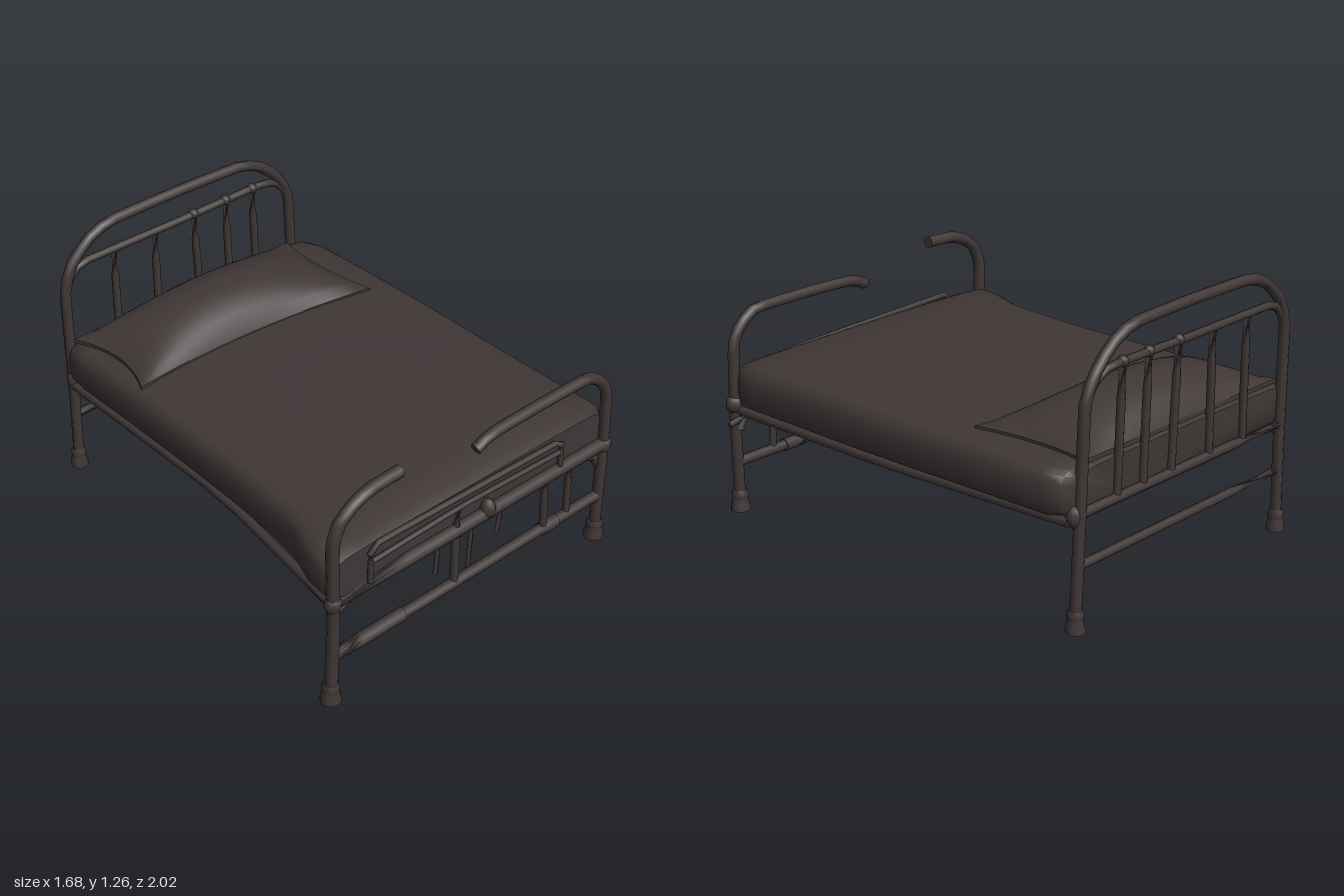
import * as THREE from 'three';
import { toCreasedNormals } from 'three/addons/utils/BufferGeometryUtils.js';

const V = (x, y, z) => new THREE.Vector3(x, y, z);

export function createModel() {
  const bed = new THREE.Group();
  bed.name = 'oldIronBed';
  const iron = new THREE.MeshStandardMaterial({ color: 0x3f3736 });
  iron.name = 'darkBrown';

  const add = (name, geo, parent = bed) => {
    const m = new THREE.Mesh(geo, iron);
    m.name = name;
    parent.add(m);
    return m;
  };

  // Capped bent tube through [x, y] points in the plane z (a third number overrides z)
  const tube = (name, pts, z, r, parent, sides = 8) => {
    const path = pts.map(p => V(p[0], p[1], p[2] ?? z));
    const curve = new THREE.CatmullRomCurve3(path, false, 'catmullrom', 0.2);
    const m = add(name, new THREE.TubeGeometry(curve, (path.length - 1) * 4, r, sides), parent);
    [0, 1].forEach(t => {
      const cap = add(name + 'End', new THREE.CircleGeometry(r, sides), m);
      cap.position.copy(curve.getPoint(t));
      const dir = curve.getTangent(t).multiplyScalar(t ? 1 : -1);
      cap.quaternion.setFromUnitVectors(V(0, 0, 1), dir);
    });
    return m;
  };

  // Flared foot under a post
  const foot = (x, y, z, r, parent) => {
    const prof = [[0, 0], [1.45, 0], [1.4, 0.02], [1.12, 0.055], [1.25, 0.075], [1, 0.1]]
      .map(([k, h]) => new THREE.Vector2(k * r, h));
    add('foot', toCreasedNormals(new THREE.LatheGeometry(prof, 10), 0.7), parent).position.set(x, y, z);
  };

  const knob = (name, x, y, z, sx, sy, sz, parent) => {
    const m = add(name, new THREE.SphereGeometry(1, 10, 7), parent);
    m.position.set(x, y, z);
    m.scale.set(sx, sy, sz);
  };

  // Headboard: tall arch, inner rail, spindles and cross rails
  const head = new THREE.Group();
  head.name = 'headboard';
  bed.add(head);
  const hz = -0.972;
  tube('headArch', [[-0.645, 0.05], [-0.64, 0.5], [-0.643, 0.96], [-0.6, 1.09], [-0.5, 1.185], [-0.38, 1.23],
    [0, 1.235], [0.37, 1.225], [0.5, 1.17], [0.6, 1.07], [0.65, 0.96], [0.672, 0.5], [0.693, 0.05]], hz, 0.025, head);
  foot(-0.645, 0.02, hz, 0.029, head);
  foot(0.693, 0.02, hz, 0.029, head);
  tube('headInnerRail', [[-0.64, 0.98], [-0.6, 1.04], [-0.53, 1.082], [0, 1.08], [0.5, 1.083], [0.6, 1.04], [0.65, 0.96]],
    hz, 0.018, head);
  [[-0.37, -0.37], [-0.14, -0.14], [0.083, 0.11], [0.27, 0.29], [0.43, 0.45]].forEach(([top, low], i) => {
    tube('headSpindle', [[top, 1.08], [low, 0.52]], hz, 0.018, head);
    if (i > 1) knob('spindleCollar', top, 1.085, hz, 0.025, 0.025, 0.024, head);
  });
  tube('headLowRail', [[-0.64, 0.305], [0.68, 0.3]], hz, 0.02, head);
  tube('headMidRail', [[-0.64, 0.52], [0.67, 0.52]], hz, 0.022, head);
  [[-0.645, 1], [0.69, -1]].forEach(([x]) => knob('headBracket', x, 0.51, -0.955, 0.034, 0.05, 0.035, head));

  // Footboard: arch snapped in the middle, rails and broken spindles
  const footboard = new THREE.Group();
  footboard.name = 'footboard';
  bed.add(footboard);
  const fz = 0.957;
  tube('footArchRight', [[-0.795, 0.06], [-0.785, 0.4], [-0.79, 0.8], [-0.755, 0.9], [-0.69, 0.952], [-0.6, 0.985],
    [-0.44, 0.992]], fz, 0.028, footboard);
  tube('footArchLeft', [[0.78, 0.06], [0.785, 0.4], [0.775, 0.78], [0.73, 0.865], [0.64, 0.922], [0.3, 0.925],
    [0.06, 0.917], [-0.02, 0.883]], fz, 0.026, footboard);
  foot(-0.797, 0, fz, 0.032, footboard);
  foot(0.78, 0, fz, 0.032, footboard);
  tube('footMidRail', [[-0.78, 0.515], [0.78, 0.515]], fz, 0.032, footboard);
  tube('footLowRail', [[-0.78, 0.23], [0.78, 0.232]], fz, 0.025, footboard);
  [[-0.56, 0.31], [0.46, 0.1]].forEach(([x, w]) =>
    tube('lowRailSleeve', [[x - w / 2, 0.232], [x + w / 2, 0.232]], fz, 0.031, footboard));

  // Thin upper frame hung in front of the mattress
  tube('footThinRail', [[-0.6, 0.66], [-0.58, 0.7], [-0.3, 0.695], [0.48, 0.675], [0.5, 0.65]], 0.965, 0.014, footboard);
  tube('footThinRail', [[-0.6, 0.62], [-0.1, 0.635], [0.5, 0.615]], 0.965, 0.012, footboard);
  [-0.595, 0.5].forEach(x => tube('thinRailPost', [[x, 0.66], [x, 0.52]], 0.965, 0.013, footboard));
  tube('footSpindle', [[-0.11, 0.63], [-0.11, 0.23]], fz, 0.019, footboard);
  tube('footSpindle', [[0.42, 0.5], [0.43, 0.23]], fz, 0.017, footboard);
  tube('footSpindle', [[0.57, 0.5], [0.575, 0.23]], fz, 0.016, footboard);
  [[-0.18, -0.19, 0.3], [0.015, 0.005, 0.22], [0.185, 0.17, 0.33]].forEach(([a, b, y]) =>
    tube('brokenSpindle', [[a, 0.49], [a - 0.002, 0.4], [b, y]], 0.925, 0.011, footboard, 6));
  knob('railClamp', 0.065, 0.54, 0.965, 0.035, 0.05, 0.035, footboard);
  [-1, 1].forEach(s => {
    knob('postBracket', s * 0.785, 0.51, fz, 0.042, 0.045, 0.036, footboard);
    tube('postGusset', [[s * 0.78, 0.39], [s * 0.745, 0.45], [s * 0.68, 0.48]], 0.94, 0.02, footboard);
    tube('cornerHook', [[s * 0.62, 0.47], [s * 0.7, 0.462]], 0.925, 0.012, footboard, 6);
  });
  tube('looseHook', [[0.76, 0.45], [0.84, 0.43]], 0.93, 0.014, footboard, 6);

  // Bed base: side rails, end rails and a flat panel
  const base = new THREE.Group();
  base.name = 'base';
  bed.add(base);
  tube('sideRail', [[-0.655, 0.49, -0.95], [-0.66, 0.485, 0.1], [-0.77, 0.48, 0.94]], 0, 0.022, base);
  tube('sideRail', [[0.71, 0.49, -0.95], [0.765, 0.485, 0], [0.77, 0.48, 0.94]], 0, 0.022, base);
  tube('crossRail', [[-0.66, 0.49], [0.71, 0.49]], -0.93, 0.022, base);
  tube('crossRail', [[-0.75, 0.48], [0.75, 0.48]], 0.92, 0.022, base);

  // Mattress lofted from stations: z, left x, right x, bottom y, edge top y, crown
  const stations = [
    [-0.965, -0.655, 0.70, 0.53, 0.69, 0.005], [-0.94, -0.675, 0.75, 0.51, 0.705, 0.005],
    [-0.85, -0.68, 0.78, 0.5, 0.71, 0.005], [-0.5, -0.68, 0.793, 0.5, 0.71, 0.005],
    [-0.1, -0.68, 0.8, 0.495, 0.708, 0.015], [0.2, -0.685, 0.8, 0.49, 0.706, 0.028],
    [0.55, -0.71, 0.8, 0.49, 0.705, 0.04], [0.65, -0.73, 0.8, 0.49, 0.705, 0.036],
    [0.8, -0.785, 0.805, 0.49, 0.705, 0.022], [0.9, -0.795, 0.803, 0.49, 0.705, 0.01],
    [0.945, -0.77, 0.775, 0.5, 0.69, 0.005]];
  const half = [[0.5, 0], [0.93, 0], [0.985, 0.12], [1, 0.4], [0.995, 0.72], [0.975, 0.9], [0.93, 0.985],
    [0.8, 1], [0.5, 1], [0.2, 1]];
  const ring = [...half, ...half.map(([u, v]) => [-u, v]).reverse()];
  const n = ring.length, pos = [], idx = [];
  stations.forEach(([z, l, r, b, t, crown], i) => {
    ring.forEach(([u, v], j) => {
      pos.push((l + r) / 2 + u * (r - l) / 2, b + v * (t - b) + (v === 1 ? crown * (1 - u * u) : 0), z);
      if (i < stations.length - 1) {
        const a = i * n + j, c = i * n + (j + 1) % n;
        idx.push(a, c, c + n, a, c + n, a + n);
      }
    });
  });
  const last = (stations.length - 1) * n;
  for (let j = 1; j < n - 1; j++) idx.push(0, j + 1, j, last, last + j, last + j + 1);
  const loft = new THREE.BufferGeometry();
  loft.setAttribute('position', new THREE.Float32BufferAttribute(pos, 3));
  loft.setIndex(idx);
  add('mattress', toCreasedNormals(loft, 0.9));

  // Pillow: a puffed slab with pinched corners and sides drawn in
  const pillow = new THREE.BoxGeometry(2, 2, 2, 20, 1, 16);
  const p = pillow.attributes.position;
  for (let i = 0; i < p.count; i++) {
    const u = p.getX(i), v = p.getZ(i), top = p.getY(i) > 0;
    const s = (u + 1) / 2, t = (v + 1) / 2, cu = 1 - u * u, cv = 1 - v * v;
    const left = -0.66 + 0.03 * (1 - t) + 0.06 * cv + 0.03 * t;
    const right = 0.62 + 0.025 * t - 0.03 * cv;
    const back = -0.95;
    const front = -0.46 + 0.075 * s - 0.05 * cu;
    const puff = 0.15 * Math.pow(cu, 0.75) * Math.pow(cv, 0.7);
    p.setXYZ(i, left + (right - left) * s, top ? 0.724 + puff : 0.705, back + (front - back) * t);
  }
  pillow.computeVertexNormals();
  add('pillow', pillow);

  return bed;
}
